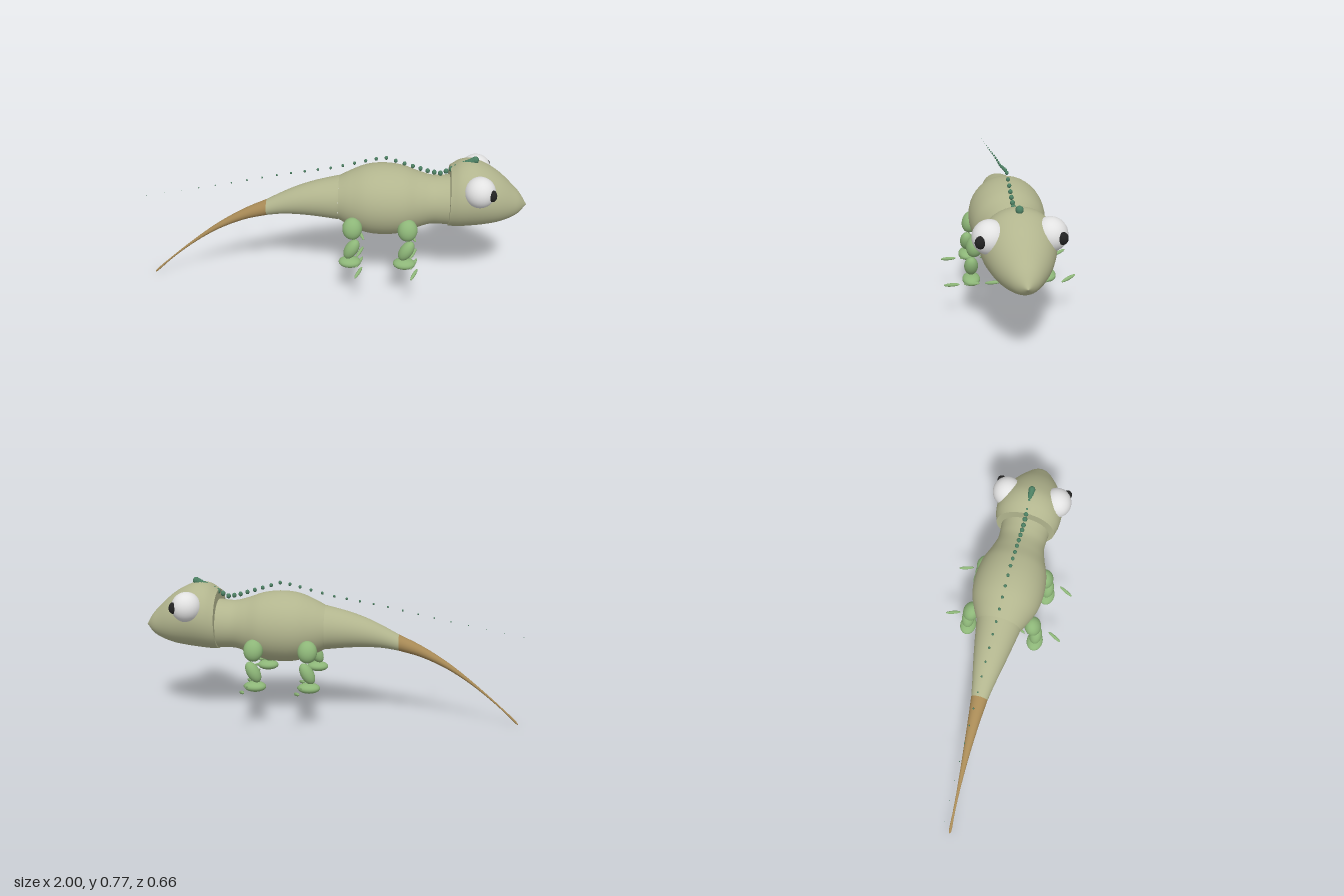
import * as THREE from 'three';

const paint = (name, color) => {
  const m = new THREE.MeshStandardMaterial({ color });
  m.name = name;
  return m;
};

// Smooth skin of round cross-sections; each station is [x, centre height, radius], running toward +x
function loft(stations, steps, sides = 40) {
  const curve = new THREE.CatmullRomCurve3(stations.map(s => new THREE.Vector3(...s)));
  const pos = [], index = [];
  curve.getPoints(steps).forEach((p, i) => {
    for (let j = 0; j < sides; j++) {
      const a = (j / sides) * Math.PI * 2;
      pos.push(p.x, p.y + p.z * Math.cos(a), p.z * Math.sin(a));
      if (i === steps) continue;
      const b = i * sides + j, c = i * sides + (j + 1) % sides;
      index.push(b, c, b + sides, c, c + sides, b + sides);
    }
  });
  const g = new THREE.BufferGeometry();
  g.setAttribute('position', new THREE.Float32BufferAttribute(pos, 3));
  g.setIndex(index);
  g.computeVertexNormals();
  return g;
}

export function createModel() {
  const skin = paint('skin', 0xb2b58e);
  const tan = paint('tailTan', 0xa88a56);
  const green = paint('legGreen', 0x8db678);
  const crestGreen = paint('crestGreen', 0x4c7f62);
  const white = paint('eyeWhite', 0xe2e2e2);
  const black = paint('pupilBlack', 0x222222);

  const model = new THREE.Group();
  const ball = new THREE.SphereGeometry(1, 28, 20);
  const bead = new THREE.SphereGeometry(1, 12, 8);

  const add = (parent, name, geometry, material) => {
    const m = new THREE.Mesh(geometry, material);
    m.name = name;
    parent.add(m);
    return m;
  };
  const egg = (parent, name, material, position, radii, geometry = ball) => {
    const m = add(parent, name, geometry, material);
    m.position.set(...position);
    m.scale.set(...radii);
    return m;
  };

  // Trunk, neck and tail
  add(model, 'body', loft([[0.03, 0.515, 0.115], [0.09, 0.515, 0.146], [0.17, 0.515, 0.178],
    [0.26, 0.516, 0.188], [0.36, 0.516, 0.177], [0.44, 0.518, 0.148], [0.51, 0.52, 0.128],
    [0.56, 0.521, 0.128], [0.61, 0.523, 0.132]], 48), skin);
  add(model, 'tailBase', loft([[-0.355, 0.442, 0.043], [-0.28, 0.468, 0.057], [-0.2, 0.489, 0.074],
    [-0.1, 0.505, 0.094], [0.03, 0.515, 0.117]], 24), skin);
  add(model, 'tailEnd', loft([[-1, 0.005, 0.0005], [-0.997, 0.008, 0.005], [-0.9, 0.1, 0.006],
    [-0.8, 0.186, 0.008], [-0.7, 0.264, 0.013], [-0.6, 0.331, 0.02], [-0.47, 0.399, 0.031],
    [-0.355, 0.442, 0.043]], 40), tan);

  // Head, with a flat rear face behind the jaw
  add(model, 'head', loft([[0.6, 0.547, 0.159], [0.65, 0.563, 0.174], [0.71, 0.57, 0.175],
    [0.78, 0.562, 0.159], [0.85, 0.546, 0.131], [0.92, 0.526, 0.087], [0.96, 0.517, 0.054],
    [1, 0.508, 0.001]], 40), skin);
  const rear = add(model, 'headBack', new THREE.CircleGeometry(0.159, 40), skin);
  rear.position.set(0.6, 0.547, 0);
  rear.rotation.y = -Math.PI / 2;

  // Crest of shrinking beads from the crown to above the tail tip
  const crest = new THREE.Group();
  crest.name = 'crest';
  model.add(crest);
  const ridge = [[0.72, 0.75], [0.66, 0.724], [0.6, 0.695], [0.55, 0.671], [0.5, 0.678], [0.26, 0.752],
    [0.14, 0.722], [0, 0.685], [-0.27, 0.638], [-0.58, 0.57], [-1, 0.487]];
  const ridgeHeight = x => {
    const k = Math.max(1, ridge.findIndex(p => p[0] <= x + 1e-6));
    const [a, b] = [ridge[k - 1], ridge[k]];
    return a[1] + (b[1] - a[1]) * (x - a[0]) / (b[0] - a[0]);
  };
  const count = 36;
  for (let i = 0; i <= count; i++) {
    const t = i / count, x = 0.72 - 1.72 * t ** 2.1, r = 0.0015 + 0.0165 * (1 - t);
    egg(crest, 'crestBead', crestGreen, [x, ridgeHeight(x), 0], [r, r * 1.1, r], bead);
  }

  for (const s of [1, -1]) {
    const side = s > 0 ? 'left' : 'right';
    // Bulging eyes
    egg(model, side + 'Eye', white, [0.741, 0.637, 0.135 * s], [0.079, 0.079, 0.079]);
    egg(model, side + 'Pupil', black, [0.8, 0.641, 0.18 * s], [0.021, 0.03, 0.025]);

    // Legs with three loose toes each
    for (const [place, x] of [['Front', 0.39], ['Back', 0.108]]) {
      const leg = new THREE.Group();
      leg.name = side + place + 'Leg';
      leg.position.set(x, 0, 0);
      model.add(leg);
      egg(leg, 'upperLeg', green, [0, 0.424, 0.169 * s], [0.051, 0.058, 0.043]).rotation.x = -0.3 * s;
      egg(leg, 'lowerLeg', green, [-0.002, 0.314, 0.19 * s], [0.034, 0.06, 0.034]).rotation.z = -0.5;
      egg(leg, 'foot', green, [-0.01, 0.237, 0.19 * s], [0.058, 0.027, 0.044]);
      for (const z of [0.088, 0.19, 0.29]) {
        const toe = egg(leg, 'toe', green, [0.039, 0.236, z * s], [0.009, 0.043, 0.009], bead);
        toe.quaternion.setFromUnitVectors(new THREE.Vector3(0, 1, 0),
          new THREE.Vector3(0.034, 0.02 * s, -0.076 * s).normalize());
      }
    }
  }
  return model;
}
